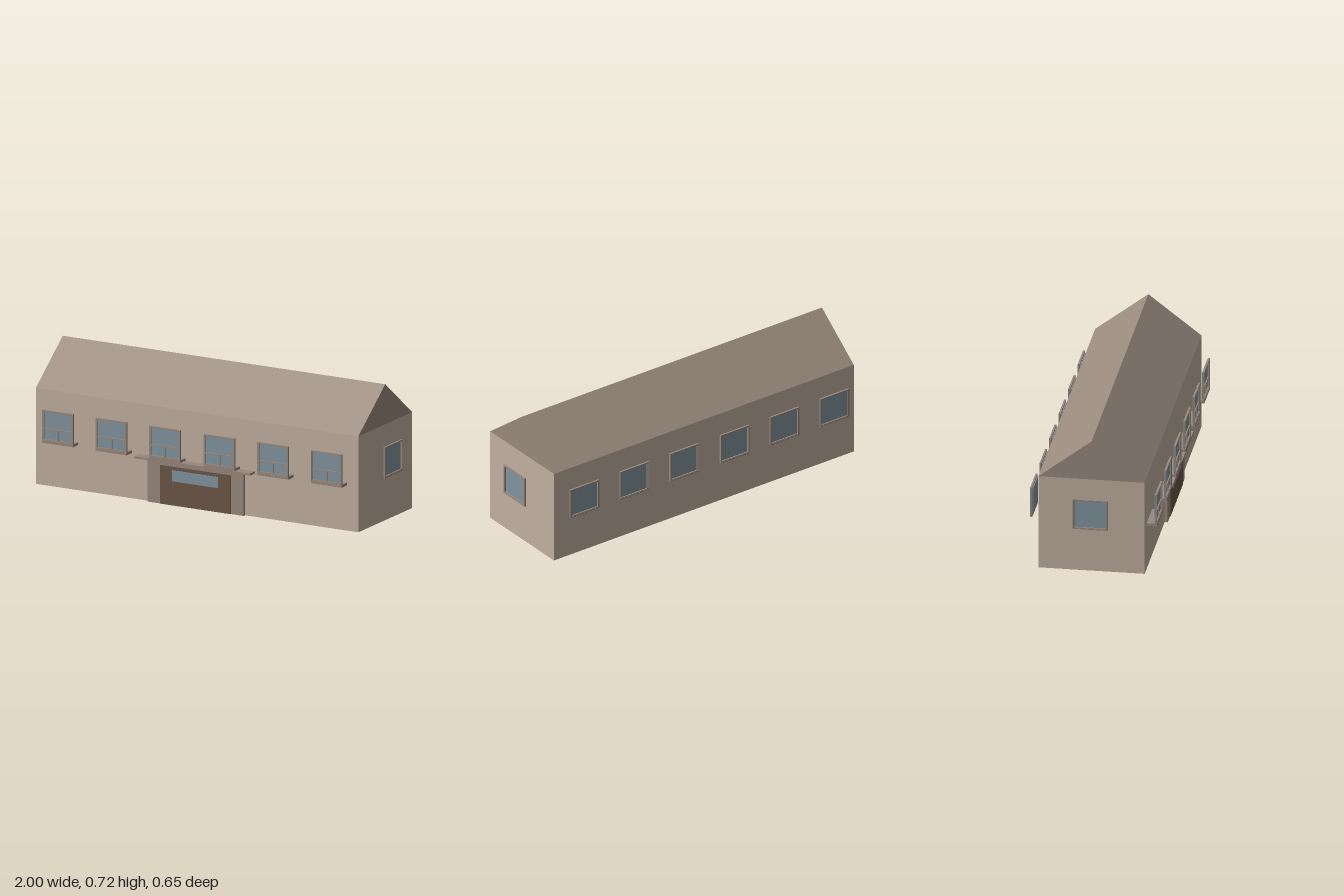
import * as THREE from 'three';

const mat = (color) => new THREE.MeshStandardMaterial({ color });
const WALL = mat(0xc1b0a0), TRIM = mat(0x998a7d), GLASS = mat(0x82959f), DOOR = mat(0x6b5748);

const HALF_X = 0.948, HALF_Z = 0.274, EAVES = 0.506, RIDGE = 0.717;

// Box given by its lower and upper corners
function box(name, material, [x0, y0, z0], [x1, y1, z1]) {
  const mesh = new THREE.Mesh(new THREE.BoxGeometry(x1 - x0, y1 - y0, z1 - z0), material);
  mesh.position.set((x0 + x1) / 2, (y0 + y1) / 2, (z0 + z1) / 2);
  mesh.name = name;
  return mesh;
}

// Rectangular ring extruded from z0 to z1
function ring(name, w, h, border, z0, z1) {
  const shape = new THREE.Shape();
  shape.moveTo(-w, -h).lineTo(w, -h).lineTo(w, h).lineTo(-w, h).closePath();
  const a = w - border, b = h - border;
  const hole = new THREE.Path();
  hole.moveTo(-a, -b).lineTo(-a, b).lineTo(a, b).lineTo(a, -b).closePath();
  shape.holes.push(hole);
  const geo = new THREE.ExtrudeGeometry(shape, { depth: z1 - z0, bevelEnabled: false });
  const mesh = new THREE.Mesh(geo.translate(0, 0, z0), TRIM);
  mesh.name = name;
  return mesh;
}

// Window facing +z, set off the wall; z = 0 is the outer face of its frame
function makeWindow(name, front) {
  const g = new THREE.Group();
  g.name = name;
  g.add(ring('frame', 0.091, 0.0815, 0.005, -0.01, 0));
  g.add(ring('sash', 0.086, 0.0765, 0.004, -0.01, -0.002));
  g.add(box('pane', GLASS, [-0.082, -0.0725, -0.0145], [0.082, 0.0725, -0.0095]));
  if (front) {
    g.add(box('crossbar', TRIM, [-0.082, -0.02, -0.01], [0.082, -0.014, -0.003]));
    g.add(box('mullion', TRIM, [-0.003, -0.0725, -0.01], [0.003, -0.02, -0.003]));
    g.add(box('sill', TRIM, [-0.091, -0.092, -0.053], [0.091, -0.077, 0]));
  }
  return g;
}

export function createModel() {
  const model = new THREE.Group();
  model.name = 'house';

  // Main block and gabled roof
  model.add(box('walls', WALL, [-HALF_X, 0, -HALF_Z], [HALF_X, EAVES, HALF_Z]));
  const gable = new THREE.Shape();
  gable.moveTo(-HALF_Z, EAVES).lineTo(HALF_Z, EAVES).lineTo(0, RIDGE).closePath();
  const roofGeo = new THREE.ExtrudeGeometry(gable, { depth: 2 * HALF_X, bevelEnabled: false });
  roofGeo.translate(0, 0, -HALF_X).rotateY(Math.PI / 2);
  const roof = new THREE.Mesh(roofGeo, TRIM);
  roof.name = 'roof';
  model.add(roof);

  // Rows of windows along the front and back
  const windowY = 0.33;
  for (const x of [-0.79, -0.475, -0.16, 0.16, 0.475, 0.79]) {
    const front = makeWindow('frontWindow', true);
    front.position.set(x, windowY, 0.327);
    const back = makeWindow('backWindow', false);
    back.position.set(x, windowY, -0.326);
    back.rotation.y = Math.PI;
    model.add(front, back);
  }

  // One window on each end wall
  for (const s of [-1, 1]) {
    const side = makeWindow(s > 0 ? 'leftWindow' : 'rightWindow', false);
    side.position.set(s, windowY, 0);
    side.rotation.y = s * Math.PI / 2;
    model.add(side);
  }

  // Entrance with surround, wide door, glazed strip and canopy
  const entrance = new THREE.Group();
  entrance.name = 'entrance';
  entrance.add(box('doorSurround', TRIM, [-0.282, 0, HALF_Z], [0.282, 0.229, 0.29]));
  entrance.add(box('door', DOOR, [-0.208, 0, HALF_Z], [0.208, 0.204, 0.293]));
  entrance.add(box('doorGlass', GLASS, [-0.135, 0.128, 0.29], [0.135, 0.186, 0.296]));
  entrance.add(box('canopy', TRIM, [-0.341, 0.229, HALF_Z], [0.341, 0.24, 0.327]));
  model.add(entrance);

  return model;
}
